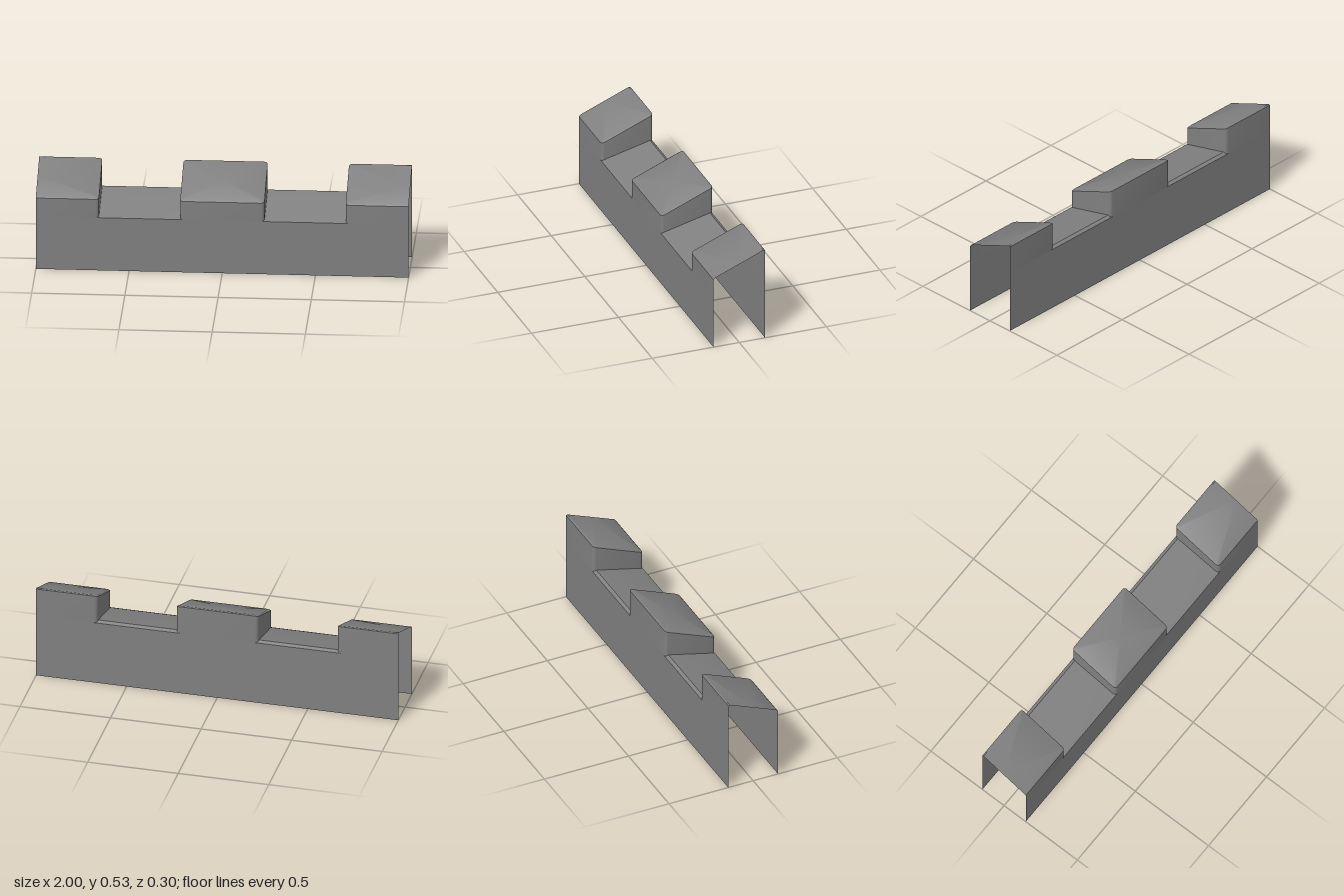
import * as THREE from 'three';
import { toCreasedNormals } from 'three/addons/utils/BufferGeometryUtils.js';

const HALF = 0.148; // half thickness of the parapet
const R = 0.018; // rounding of the merlon corners
const BEVEL = 0.009;

// Heights across the thickness: sloping gap floor with eased edges, and merlon top
const floorProfile = [[HALF, 0.303], [HALF - R, 0.311], [-HALF + R, 0.377], [-HALF, 0.367]];
const topY = (z) => 0.475 - 0.412 * z;
function floorY(z) {
  const [a, b, c, d] = floorProfile;
  const [p, q] = z > b[0] ? [a, b] : z < c[0] ? [c, d] : [b, c];
  return THREE.MathUtils.mapLinear(z, p[0], q[0], p[1], q[1]);
}

// Surface through rows of points
function loft(rows) {
  const n = rows[0].length, index = [];
  for (let j = 0; j < rows.length - 1; j++) {
    for (let i = 0; i < n - 1; i++) {
      const a = j * n + i, b = a + n;
      index.push(a, a + 1, b + 1, a, b + 1, b);
    }
  }
  const geo = new THREE.BufferGeometry();
  geo.setAttribute('position', new THREE.Float32BufferAttribute(rows.flat(2), 3));
  geo.setIndex(index);
  return toCreasedNormals(geo, 0.6);
}

// Sheet with a [z, y] profile, running along x
const sheet = (profile, x0, x1) => loft(profile.map(([z, y]) => [[x0, y, z], [x1, y, z]]));

// Plan outline of a merlon; side -1 or 1 leaves that end open, 0 closes it
function outline(x0, x1, side, inset) {
  const pts = [], hz = HALF - inset;
  const l = side < 0 ? x0 : x0 + inset, r = side > 0 ? x1 : x1 - inset;
  const corner = (k) => {
    const sx = k === 0 || k === 1 ? 1 : -1, sz = k === 0 || k === 3 ? 1 : -1;
    const cx = sx > 0 ? r - R : l + R, cz = sz * (hz - R);
    for (let i = 0; i <= 4; i++) {
      const t = (k - 1 + i / 4) * Math.PI / 2;
      pts.push([cx + R * Math.cos(t), cz - R * Math.sin(t)]);
    }
  };
  if (side < 0) { pts.push([l, hz]); corner(0); corner(1); pts.push([l, -hz]); }
  else if (side > 0) { pts.push([r, -hz]); corner(2); corner(3); pts.push([r, hz]); }
  else { [0, 1, 2, 3].forEach(corner); pts.push(pts[0]); }
  return pts;
}

function merlon(x0, x1, side) {
  const outer = outline(x0, x1, side, 0), inner = outline(x0, x1, side, BEVEL);
  const cx = side ? side : (x0 + x1) / 2;
  return loft([
    outer.map(([x, z]) => [x, floorY(z), z]),
    outer.map(([x, z]) => [x, topY(z) - 0.006, z]),
    inner.map(([x, z]) => [x, topY(z), z]),
    inner.map(() => [cx, topY(0), 0]),
  ]);
}

export function createModel() {
  const group = new THREE.Group();
  const stone = new THREE.MeshStandardMaterial({ color: 0x808080, side: THREE.DoubleSide });
  stone.name = 'grey stone';
  const add = (name, geo) => {
    const mesh = new THREE.Mesh(geo, stone);
    mesh.name = name;
    group.add(mesh);
  };

  // Thin walls, open at both ends and underneath
  add('frontWall', sheet([[HALF, 0], [HALF, 0.303]], -1, 1));
  add('backWall', sheet([[-HALF, 0.367], [-HALF, 0]], -1, 1));

  // Sloping gap floors, reaching just under the rounded merlon corners
  const inner = 0.226, outer = 0.662;
  add('leftGapFloor', sheet(floorProfile, inner - R, outer + R));
  add('rightGapFloor', sheet(floorProfile, -outer - R, -inner + R));

  // Hollow merlons
  add('rightMerlon', merlon(-1, -outer, -1));
  add('middleMerlon', merlon(-inner, inner, 0));
  add('leftMerlon', merlon(outer, 1, 1));
  return group;
}
